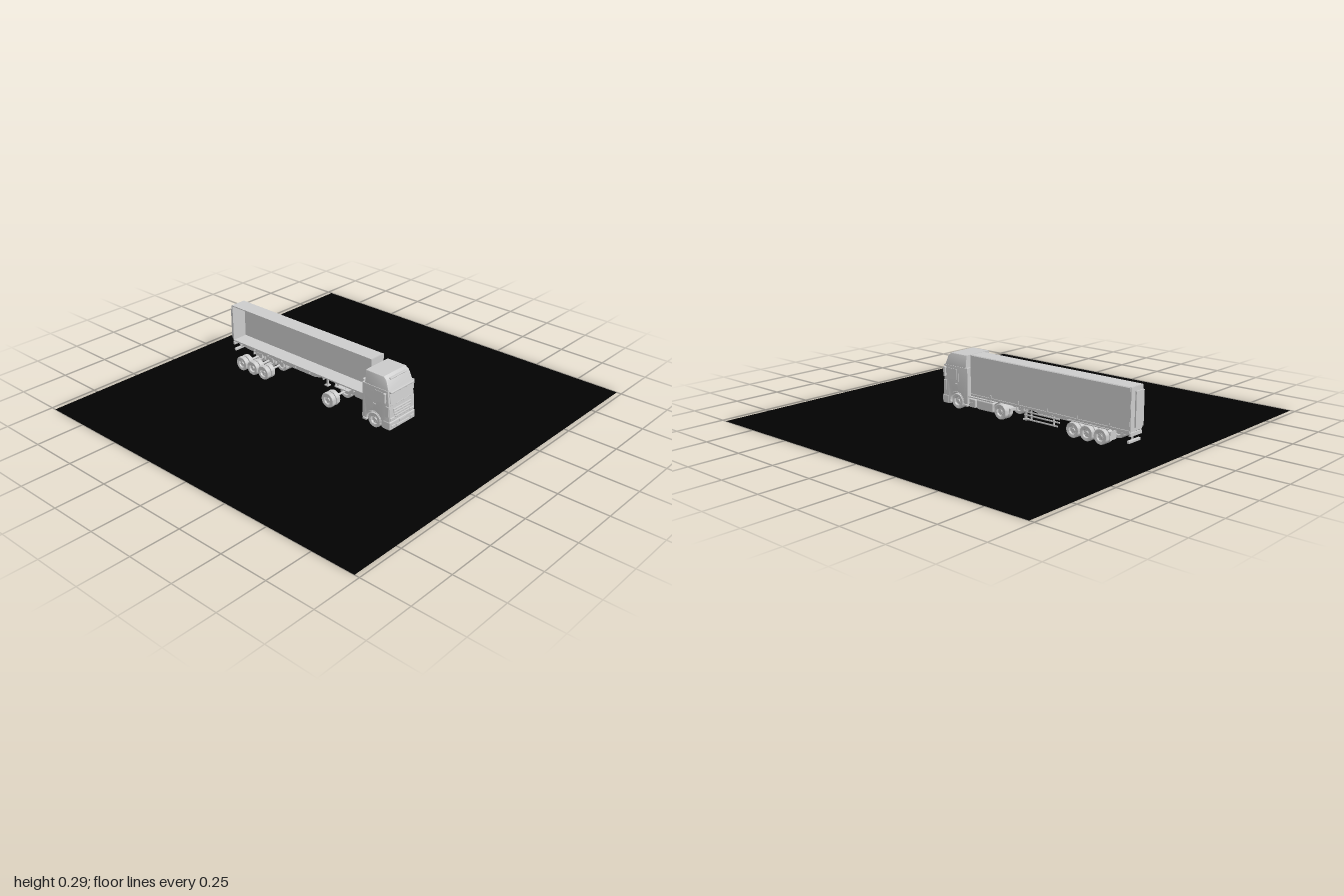
import * as THREE from 'three';
import { RoundedBoxGeometry } from 'three/addons/geometries/RoundedBoxGeometry.js';
import { toCreasedNormals } from 'three/addons/utils/BufferGeometryUtils.js';

const grey = new THREE.MeshStandardMaterial({ color: 0xcccccc, side: THREE.DoubleSide });
const black = new THREE.MeshStandardMaterial({ color: 0x020202, side: THREE.DoubleSide });

export function createModel() {
  const root = new THREE.Group();

  function add(name, geo, x = 0, y = 0, z = 0, parent = root) {
    const m = new THREE.Mesh(geo, grey);
    m.name = name;
    m.position.set(x, y, z);
    parent.add(m);
    return m;
  }
  // Box given by its limits on each axis
  function box(name, x0, x1, y0, y1, z0, z1, r = 0, parent = root) {
    const w = x1 - x0, h = y1 - y0, d = z1 - z0;
    const g = r ? new RoundedBoxGeometry(w, h, d, 2, r) : new THREE.BoxGeometry(w, h, d);
    return add(name, g, (x0 + x1) / 2, (y0 + y1) / 2, (z0 + z1) / 2, parent);
  }
  // Side profile in (z, y), extruded from x0 to x1
  function sideExtrude(name, shape, x0, x1, bevel = 0) {
    const g = new THREE.ExtrudeGeometry(shape, {
      depth: x1 - x0 - 2 * bevel, bevelEnabled: bevel > 0, bevelSize: bevel,
      bevelThickness: bevel, bevelOffset: -bevel, bevelSegments: 2, curveSegments: 20,
    });
    g.rotateY(-Math.PI / 2);
    return add(name, toCreasedNormals(g, 0.6), x1 - bevel, 0, 0);
  }
  const poly = (pts) => new THREE.Shape(pts.map((p) => new THREE.Vector2(p[0], p[1])));

  // Ground slab the truck stands on
  const base = add('basePlate', new THREE.PlaneGeometry(2, 1.95).rotateX(-Math.PI / 2));
  base.material = black;

  // Wheels: lathed tyre, dished rim and hub
  const profile = (r, w) => [
    [0, 0.3], [0.2, 0.3], [0.24, 0.12], [0.5, 0.1], [0.56, 0.42], [0.66, 0.46], [0.9, 0.5],
    [0.98, 0.38], [1, 0.2], [1, -0.2], [0.98, -0.38], [0.9, -0.5], [0.6, -0.45], [0.5, -0.2], [0, -0.2],
  ].map(([a, b]) => new THREE.Vector2(a * r, -b * w)).reverse();
  function wheel(x, z, r, w) {
    const side = Math.sign(x);
    const g = new THREE.Group();
    g.name = 'wheel';
    g.position.set(x, r, z);
    const lathe = new THREE.LatheGeometry(profile(r, w), 28).rotateZ(Math.PI / 2);
    if (side < 0) lathe.rotateY(Math.PI);
    add('tyreAndRim', toCreasedNormals(lathe, 0.7), 0, 0, 0, g);
    for (let i = 0; i < 8; i++) {
      const a = (i / 8) * Math.PI * 2;
      add('wheelBolt', new THREE.CylinderGeometry(0.0015, 0.0015, 0.004, 6).rotateZ(Math.PI / 2),
        side * w * 0.15, Math.cos(a) * r * 0.37, Math.sin(a) * r * 0.37, g);
    }
    root.add(g);
  }
  const axles = [[0, 0.04], [-0.45, 0.038], [-0.53, 0.038], [-0.61, 0.038]];
  for (const [z, r] of axles) {
    for (const s of [-1, 1]) {
      wheel(s * 0.083, z, r, 0.026);
      wheel(s * 0.053, z, r, 0.026);
    }
    add('axle', new THREE.CylinderGeometry(0.006, 0.006, 0.16, 12).rotateZ(Math.PI / 2), 0, r, z);
  }
  for (const s of [-1, 1]) wheel(s * 0.076, 0.296, 0.04, 0.028);
  add('frontAxle', new THREE.CylinderGeometry(0.006, 0.006, 0.15, 12).rotateZ(Math.PI / 2), 0, 0.04, 0.296);

  // Cab body with front wheel arch
  const body = new THREE.Shape();
  body.moveTo(0.222, 0.035);
  body.lineTo(0.222, 0.22);
  body.lineTo(0.378, 0.22);
  body.lineTo(0.388, 0.14);
  body.lineTo(0.392, 0.10);
  body.lineTo(0.392, 0.02);
  body.lineTo(0.345, 0.02);
  body.absarc(0.296, 0.042, 0.046, -0.3, Math.PI, false);
  body.lineTo(0.25, 0.035);
  sideExtrude('cabBody', body, -0.092, 0.092, 0.004);

  // Tapered roof fairing
  const roof = sideExtrude('roofFairing',
    poly([[0.235, 0.215], [0.235, 0.283], [0.343, 0.283], [0.362, 0.268], [0.382, 0.215]]), -0.09, 0.09, 0.005);
  const rp = roof.geometry.attributes.position;
  for (let i = 0; i < rp.count; i++) {
    const k = 1 - 0.09 * Math.max(0, (rp.getY(i) - 0.215) / 0.068);
    rp.setX(i, (rp.getX(i) + 0.085) * k - 0.085);
  }
  roof.geometry = toCreasedNormals(roof.geometry, 0.6);
  box('roofLightBar', -0.06, 0.06, 0.266, 0.273, 0.352, 0.369, 0.003);
  box('sunVisor', -0.085, 0.085, 0.208, 0.218, 0.375, 0.395, 0.004);

  // Cab front: windscreen, grille, bumper and lamps
  const screen = box('windscreen', -0.082, 0.082, 0.142, 0.206, 0.382, 0.386, 0.002);
  screen.rotation.x = -0.12;
  for (const x of [-0.045, 0.01]) {
    const wiper = box('wiper', x, x + 0.05, 0.144, 0.147, 0.389, 0.392);
    wiper.rotation.z = 0.12;
  }
  for (let i = 0; i < 4; i++) {
    const y = 0.075 + i * 0.014, w = 0.052 + i * 0.005;
    box('grilleBar', -w, w, y, y + 0.008, 0.386, 0.396, 0.002);
  }
  box('bumper', -0.094, 0.094, 0.018, 0.062, 0.352, 0.397, 0.006);
  box('lowerIntake', -0.045, 0.045, 0.026, 0.038, 0.39, 0.4, 0.002);
  box('numberPlate', -0.022, 0.022, 0.044, 0.055, 0.39, 0.4);

  for (const s of [-1, 1]) {
    const b = (name, x0, x1, ...rest) => box(name, Math.min(s * x0, s * x1), Math.max(s * x0, s * x1), ...rest);
    b('headlamp', 0.056, 0.088, 0.064, 0.082, 0.38, 0.396, 0.004);
    b('fogLamp', 0.056, 0.082, 0.03, 0.044, 0.388, 0.4, 0.003);
    b('sideWindow', 0.091, 0.0935, 0.148, 0.205, 0.298, 0.366, 0.001);
    b('doorHandle', 0.091, 0.096, 0.128, 0.133, 0.292, 0.306, 0.001);
    b('doorSeam', 0.0915, 0.0928, 0.095, 0.212, 0.285, 0.287);
    b('cornerDeflector', 0.088, 0.095, 0.085, 0.14, 0.366, 0.388, 0.003);
    b('mirror', 0.098, 0.11, 0.16, 0.212, 0.362, 0.376, 0.004);
    for (const y of [0.168, 0.204]) b('mirrorArm', 0.088, 0.1, y, y + 0.004, 0.366, 0.372);
    b('cabStep', 0.075, 0.093, 0.022, 0.034, 0.225, 0.25, 0.003);
    // Arch lip over the front wheel
    const lip = new THREE.TorusGeometry(0.046, 0.003, 6, 24, Math.PI).rotateY(Math.PI / 2);
    add('frontArchLip', lip, s * 0.091, 0.042, 0.296);
  }
  box('airIntake', -0.08, -0.062, 0.1, 0.23, 0.212, 0.224, 0.004);

  // Tractor frame, tank and rear mudguard on the left half
  box('tractorFrame', 0.028, 0.04, 0.045, 0.07, -0.06, 0.23);
  box('tractorCrossPlate', 0, 0.04, 0.066, 0.07, -0.04, 0.05);
  box('fuelTank', 0.045, 0.088, 0.022, 0.072, 0.052, 0.165, 0.008);
  box('batteryBox', 0.045, 0.088, 0.024, 0.068, 0.172, 0.216, 0.005);
  box('sideDeck', 0.035, 0.088, 0.073, 0.079, 0.05, 0.218);
  for (const y of [0.045, 0.062]) box('tankStrap', 0.085, 0.09, y, y + 0.005, 0.19, 0.212, 0.001);
  const guard = new THREE.CylinderGeometry(0.046, 0.046, 0.056, 20, 1, true, 0.2, Math.PI - 0.4);
  add('rearMudguard', guard.rotateZ(Math.PI / 2), 0.066, 0.04, 0);
  add('fifthWheel', new THREE.CylinderGeometry(0.03, 0.03, 0.008, 24, 1, false, 0, Math.PI), 0, 0.077, 0);
  box('tractorTailLamp', 0.045, 0.085, 0.05, 0.064, -0.06, -0.052);

  // Trailer: half shell open towards the right
  const shell = poly([[0, 0.289], [0.083, 0.289], [0.086, 0.286], [0.086, 0.095], [0, 0.095],
    [0, 0.088], [0.091, 0.088], [0.091, 0.29], [0.087, 0.294], [0, 0.294]]);
  add('trailerShell', toCreasedNormals(
    new THREE.ExtrudeGeometry(shell, { depth: 0.965, bevelEnabled: false }), 0.4), 0, 0, -0.768);
  box('trailerFrontWall', 0, 0.09, 0.09, 0.293, 0.194, 0.2);
  box('trailerRearDoor', 0, 0.09, 0.09, 0.293, -0.772, -0.766);
  box('rearDoorPanel', 0, 0.06, 0.105, 0.272, -0.779, -0.771);
  box('lowerSideRail', 0.086, 0.093, 0.085, 0.097, -0.768, 0.198, 0.002);
  for (let i = 0; i < 5; i++) box('sideBracket', 0.09, 0.094, 0.094, 0.112, -0.66 + i * 0.18, -0.653 + i * 0.18);

  // Trailer frame with deeper rear section
  sideExtrude('trailerBeam', poly([[0.15, 0.09], [-0.76, 0.09], [-0.76, 0.066], [-0.68, 0.055], [-0.2, 0.055],
    [-0.1, 0.078], [0.15, 0.08]]), 0.028, 0.036);
  for (let i = 0; i < 9; i++) box('crossMember', 0, 0.085, 0.078, 0.088, -0.72 + i * 0.1, -0.712 + i * 0.1);
  for (const [z] of axles.slice(1)) box('axleHanger', 0.026, 0.038, 0.034, 0.06, z - 0.012, z + 0.03);

  // Landing leg
  box('landingLeg', 0.05, 0.06, 0.025, 0.088, -0.14, -0.13);
  box('landingFoot', 0.044, 0.066, 0.018, 0.025, -0.147, -0.123);

  // Side guard rails and posts
  for (const y of [0.03, 0.05, 0.066]) {
    const inset = y < 0.04 ? 0.012 : 0;
    box('sideGuardRail', 0.084, 0.089, y, y + 0.008, -0.37 + inset, -0.15 - inset, 0.002);
  }
  for (const z of [-0.33, -0.19]) box('sideGuardPost', 0.078, 0.084, 0.028, 0.09, z - 0.004, z + 0.004);

  // Trailer tail: mud flap, bumper and lamps
  box('trailerMudFlap', 0.04, 0.088, 0.028, 0.07, -0.662, -0.658);
  box('trailerMudguard', 0.04, 0.09, 0.078, 0.082, -0.655, -0.41);
  box('rearBumperPost', 0.04, 0.05, 0.04, 0.088, -0.755, -0.747);
  box('rearBumper', 0, 0.088, 0.034, 0.048, -0.766, -0.752, 0.003);
  box('tailLampBar', 0, 0.088, 0.068, 0.084, -0.772, -0.762);
  return root;
}
